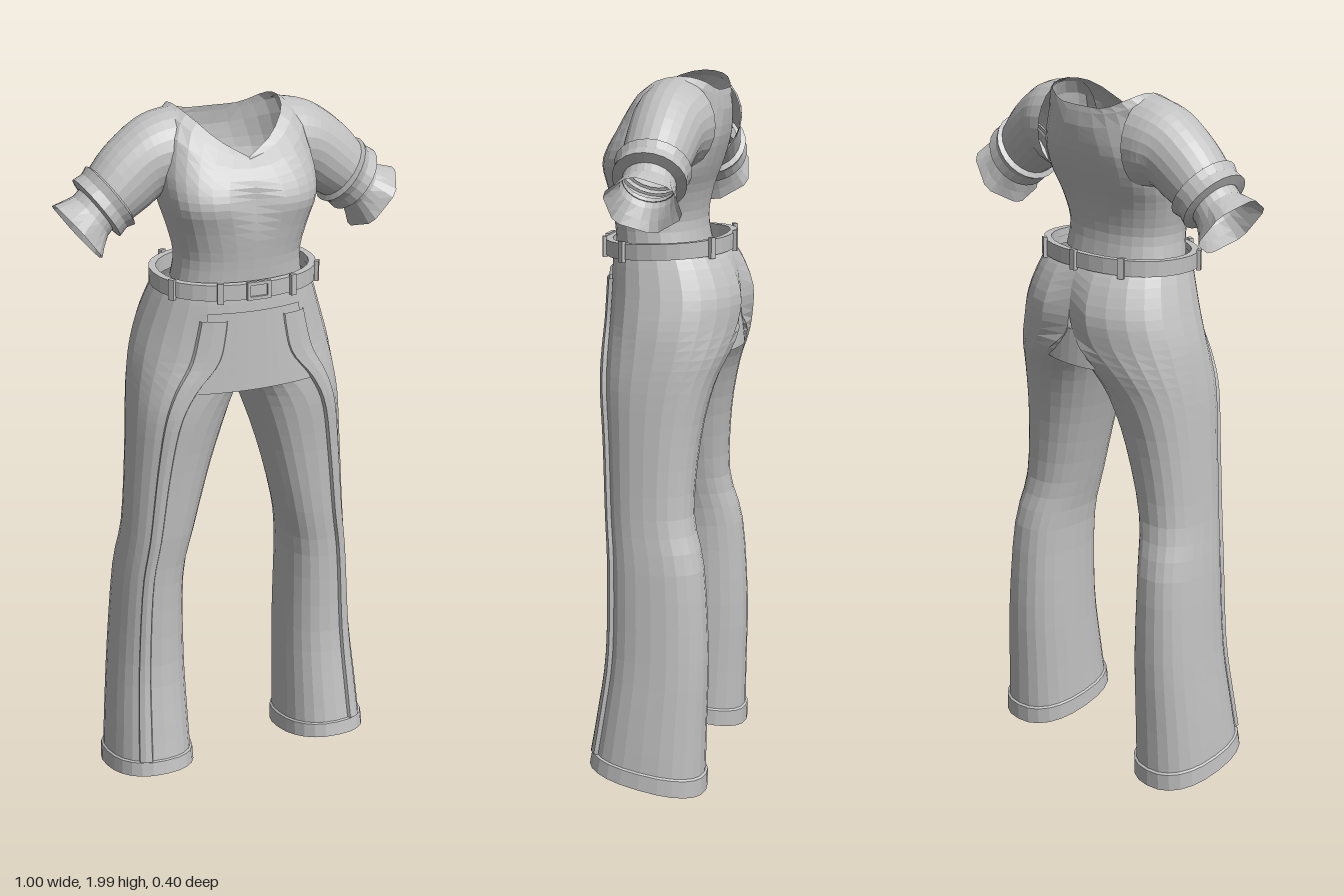
import * as THREE from 'three';

const cloth = new THREE.MeshStandardMaterial({ color: 0xc0c0c0, flatShading: true, side: THREE.DoubleSide });
cloth.name = 'grey cloth';

const V = (x, y, z) => new THREE.Vector3(x, y, z);
const pw = (v, e) => Math.sign(v) * Math.abs(v) ** e;
const TAU = Math.PI * 2;

// Skin a list of equally long point rows; closed rows wrap around
function loft(name, rows, closed = true) {
  const n = rows[0].length, pos = [], idx = [];
  rows.forEach(r => r.forEach(p => pos.push(p.x, p.y, p.z)));
  for (let i = 0; i < rows.length - 1; i++) {
    for (let j = 0; j < (closed ? n : n - 1); j++) {
      const a = i * n + j, b = i * n + (j + 1) % n;
      idx.push(a, b, a + n, b, b + n, a + n);
    }
  }
  const g = new THREE.BufferGeometry();
  g.setAttribute('position', new THREE.Float32BufferAttribute(pos, 3));
  g.setIndex(idx);
  g.computeVertexNormals();
  return named(name, new THREE.Mesh(g, cloth));
}

function named(name, o) { o.name = name; return o; }

// Smoothly interpolate a table of stations, t from 0 to 1
function sample(table, t) {
  return table[0].map((_, k) =>
    new THREE.SplineCurve(table.map(r => new THREE.Vector2(r[0], r[k]))).getPoint(t).y);
}

const steps = (n, f) => Array.from({ length: n + 1 }, (_, i) => f(i / n));

// Trouser leg stations: y, middle x, inner x, outer x, front z, back z
const LEG = [
  [1.53, 0, 0, .215, .17, -.14], [1.48, 0, 0, .235, .175, -.175],
  [1.40, 0, 0, .262, .178, -.205], [1.32, .02, 0, .285, .178, -.2],
  [1.24, .11, .005, .298, .172, -.175], [1.15, .17, .035, .308, .165, -.14],
  [1.0, .205, .085, .318, .15, -.11], [.8, .235, .138, .332, .138, -.1],
  [.65, .26, .165, .35, .128, -.135], [.4, .27, .165, .37, .13, -.15],
  [.2, .275, .162, .388, .155, -.146], [.035, .28, .158, .4, .18, -.143],
];

// Point on the leg; angle 0 is the front, a quarter turn is the outer side
function legPoint(s, a, pad) {
  const [y, cx, xin, xout, zf, zb] = s;
  const sn = pw(Math.sin(a), .85), cs = pw(Math.cos(a), .85), zc = (zf + zb) / 2;
  const x = cx + sn * (sn > 0 ? xout - cx + pad : cx - xin + pad);
  let z = zc + cs * ((zf - zb) / 2 + pad);
  // cleft at the seat
  if (z < 0 && y > 1.24) z += .025 * Math.exp(-((x / .04) ** 2)) * Math.min(1, (1.53 - y) * 8);
  return V(x, y + z * .22 * Math.max(0, 1 - y / .4), z);
}

function makeLeg() {
  const g = named('trouserLeg', new THREE.Group());
  const ring = (t, pad) => {
    const s = sample(LEG, t);
    return Array.from({ length: 24 }, (_, j) => legPoint(s, j / 24 * TAU, pad));
  };
  g.add(loft('leg', steps(33, t => ring(t, 0))));
  g.add(loft('hem', [ring(.965, 0), ring(.967, .006), ring(1, .006), ring(1, -.006), ring(.965, -.006)]));
  // raised pleat down the front
  g.add(loft('frontPleat', steps(33, t => {
    const s = sample(LEG, .14 + t * .825);
    return [[.26, 0], [.28, .01], [.42, .012], [.56, .01], [.6, 0]].map(([a, p]) => legPoint(s, a, p));
  }), false));
  return g;
}

// Blouse body stations: side y, half width, front z, back z, front y, back y, squareness
const BODY = [
  [1.53, .185, .165, -.09, 1.53, 1.53, .85], [1.6, .178, .172, -.08, 1.6, 1.6, .85],
  [1.68, .195, .184, -.092, 1.68, 1.68, .75], [1.75, .213, .195, -.115, 1.75, 1.75, .65],
  [1.83, .218, .178, -.138, 1.80, 1.83, .7], [1.94, .2, .148, -.145, 1.845, 1.9, .85],
];
// Half neckline from the front point to the back
const NECK = [[0, 1.872, .128], [.075, 1.918, .1], [.133, 1.975, .04], [.152, 1.995, -.04],
  [.145, 1.985, -.1], [.085, 1.958, -.13], [0, 1.955, -.136]].map(p => V(...p));

function makeBlouse() {
  const n = 14;
  const mirrorRow = half => [...half, ...half.slice(1, -1).reverse().map(p => V(-p.x, p.y, p.z))];
  const rows = steps(15, t => {
    const [y, w, zf, zb, yf, yb, e] = sample(BODY, t);
    return mirrorRow(steps(n, u => {
      const a = u * Math.PI, c = Math.cos(a), x = w * pw(Math.sin(a), e);
      let z = (zf + zb) / 2 + pw(c, e) * (zf - zb) / 2;
      // hollow between the bust points
      if (c > 0) z -= .018 * Math.exp(-((x / .05) ** 2)) * Math.exp(-(((y - 1.76) / .06) ** 2));
      return V(x, y + c * c * ((c > 0 ? yf : yb) - y), z);
    }));
  });
  const curve = new THREE.CatmullRomCurve3(NECK);
  const neck = mirrorRow(steps(n, u => curve.getPoint(u)));
  const last = rows[rows.length - 1];
  rows.push(neck.map((p, j) => p.clone().lerp(last[j], .45).add(V(p.x * .04, .008, 0))), neck);
  return loft('blouseBody', rows);
}

// Ring around the arm; tilt is the downward slope of the arm
function armRing(x, y, tilt, r, rz, z = -.015, wave = 0, n = 24) {
  return Array.from({ length: n }, (_, j) => {
    const a = j / n * TAU, k = 1 + wave * (j % 4 < 2 ? 1 : -1), c = Math.cos(a) * r * k;
    return V(x + c * Math.sin(tilt), y + c * Math.cos(tilt), z + Math.sin(a) * rz * k);
  });
}

function makeSleeve() {
  const g = named('sleeve', new THREE.Group());
  const table = [[.16, 1.865, 0, .125, .112, -.03], [.205, 1.862, .16, .117, .108, -.03],
    [.245, 1.85, .36, .106, .1, -.025], [.3, 1.808, .57, .099, .094, -.02], [.35, 1.765, .61, .086, .088, -.015]];
  g.add(loft('upperSleeve', steps(10, t => armRing(...sample(table, t)))));
  g.add(loft('cuff', [armRing(.335, 1.775, .61, .08, .08), armRing(.342, 1.768, .61, .1, .105),
    armRing(.36, 1.755, .61, .092, .097), armRing(.382, 1.738, .61, .097, .101),
    armRing(.386, 1.735, .61, .068, .072)]));
  g.add(loft('ruffle', [armRing(.375, 1.743, .62, .068, .072), armRing(.4, 1.718, .64, .069, .075),
    armRing(.422, 1.698, .65, .084, .088, -.012, .02), armRing(.44, 1.68, .66, .097, .102, -.011, .035)]));
  return g;
}

// Belt with loops and buckle
function makeBelt() {
  const g = named('beltGroup', new THREE.Group());
  const at = (a, y, pad) => {
    const z = .0175 + pw(Math.cos(a), .9) * (.178 + pad);
    return V(pw(Math.sin(a), .9) * (.236 + pad), y - z * .04, z);
  };
  const ring = (y, pad) => Array.from({ length: 32 }, (_, j) => at(j / 32 * TAU, y, pad));
  g.add(loft('belt', [ring(1.506, -.02), ring(1.506, 0), ring(1.55, 0), ring(1.55, -.02), ring(1.506, -.02)]));
  for (const a of [.42, 1.1, 2.5, Math.PI, -2.5, -1.1, -.42]) {
    const m = named('beltLoop', new THREE.Mesh(new THREE.BoxGeometry(.018, .058, .012), cloth));
    m.position.copy(at(a, 1.528, .003));
    m.rotation.y = Math.atan2(Math.sin(a) / .236, Math.cos(a) / .178);
    g.add(m);
  }
  const shape = new THREE.Shape([[-.035, -.025], [.035, -.025], [.035, .025], [-.035, .025]].map(p => new THREE.Vector2(...p)));
  shape.holes.push(new THREE.Path([[-.025, -.016], [-.025, .016], [.025, .016], [.025, -.016]].map(p => new THREE.Vector2(...p))));
  const buckle = named('buckle', new THREE.Mesh(new THREE.ExtrudeGeometry(shape, { depth: .01, bevelEnabled: false }), cloth));
  buckle.position.set(0, 1.522, .192);
  g.add(buckle);
  return g;
}

// Shirt tails hanging over the trousers
function makeTails() {
  const g = named('shirtTails', new THREE.Group());
  g.add(loft('frontTail', steps(5, t => steps(10, u => {
    const k = u * 2 - 1;
    return V(k * (.135 + .035 * t), 1.46 - .225 * t, .184 + .008 * t - .022 * k * k);
  })), false));
  g.add(loft('backTail', steps(4, t => steps(14, u => {
    const k = u * 2 - 1;
    return V(k * (.225 + .015 * t), 1.34 - .1 * t, -.178 - .01 * t + .095 * k * k);
  })), false));
  return g;
}

export function createModel() {
  const model = named('outfit', new THREE.Group());
  model.add(makeBlouse(), makeBelt(), makeTails());
  for (const side of [1, -1]) {
    const label = side > 0 ? 'left' : 'right';
    const half = named(label + 'Side', new THREE.Group());
    half.add(makeLeg(), makeSleeve());
    half.scale.x = side;
    model.add(half);
  }
  return model;
}
